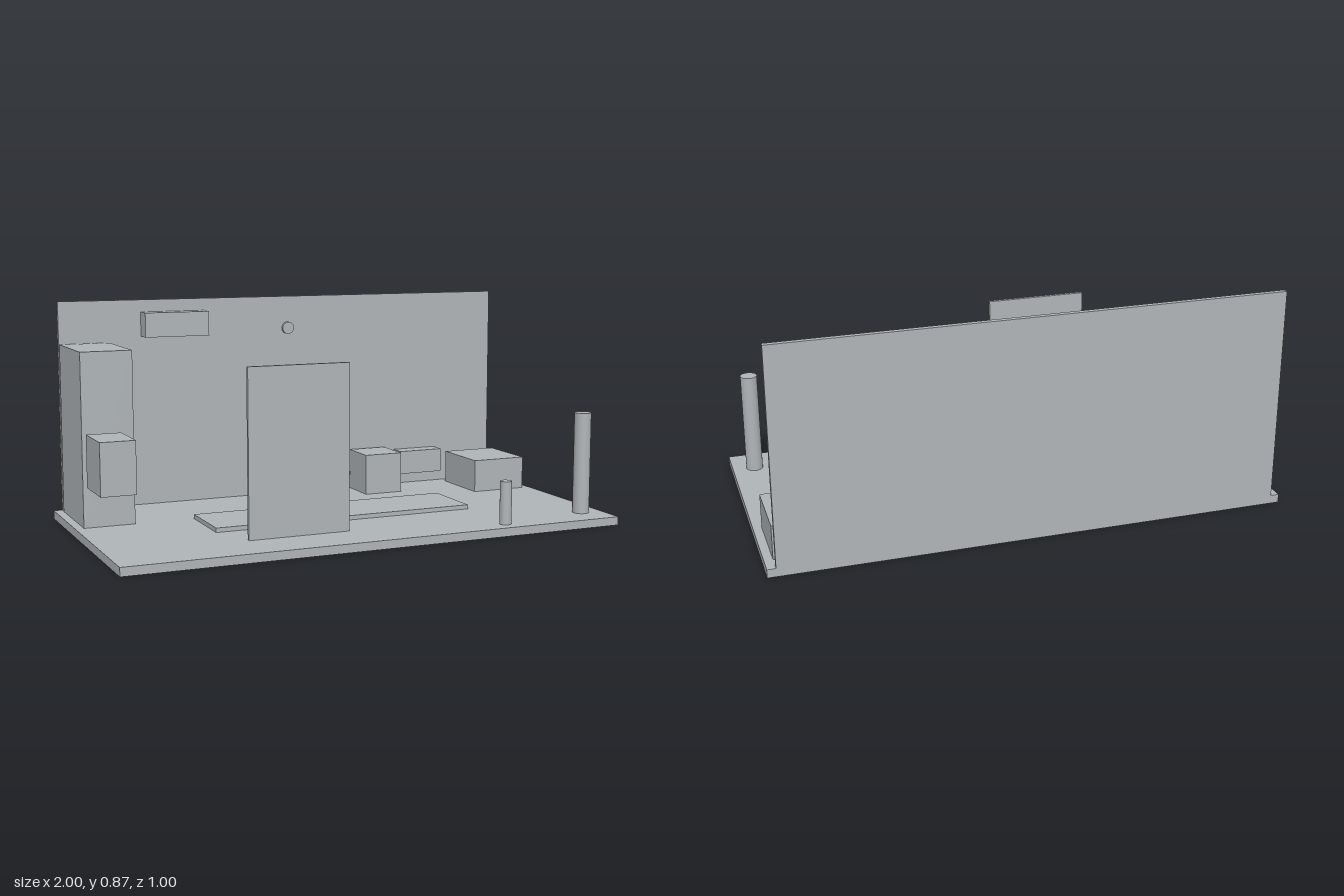
import * as THREE from 'three';

export function createModel() {
  const room = new THREE.Group();
  room.name = 'roomLayout';
  const grey = new THREE.MeshStandardMaterial({ color: 0xb0b5b8 });
  grey.name = 'plain grey';

  const FLOOR = 0.033; // top of the floor slab
  const WALL = -0.48; // front face of the back wall

  function add(name, geometry, x, y, z) {
    const mesh = new THREE.Mesh(geometry, grey);
    mesh.name = name;
    mesh.position.set(x, y, z);
    room.add(mesh);
    return mesh;
  }

  // Box given by its extents along each axis
  function box(name, [x0, x1], [y0, y1], [z0, z1]) {
    return add(name, new THREE.BoxGeometry(x1 - x0, y1 - y0, z1 - z0),
      (x0 + x1) / 2, (y0 + y1) / 2, (z0 + z1) / 2);
  }

  // Upright post standing on the floor
  function post(name, x, z, radius, top) {
    const height = top - FLOOR;
    return add(name, new THREE.CylinderGeometry(radius, radius, height, 32),
      x, FLOOR + height / 2, z);
  }

  // Floor and back wall
  box('floor', [-1, 1], [0, FLOOR], [-0.5, 0.5]);
  box('backWall', [-0.967, 0.967], [FLOOR, 0.867], [-0.5, WALL]);

  // Furniture on the floor
  box('tallCabinet', [-0.967, -0.767], [FLOOR, 0.7], [-0.467, -0.133]);
  box('standingPanel', [-0.467, -0.067], [FLOOR, 0.667], [0.293, 0.307]);
  box('floorMat', [-0.533, 0.533], [FLOOR, 0.05], [-0.133, 0.133]);
  box('smallCrate', [0.283, 0.447], [FLOOR, 0.2], [-0.467, -0.3]);
  box('lowBox', [0.733, 0.967], [FLOOR, 0.167], [-0.433, -0.167]);

  // Raised side box
  box('sideBox', [-0.967, -0.833], [0.2, 0.4], [-0.067, 0.133]);

  // Units fixed to the wall
  box('upperWallUnit', [-0.633, -0.367], [0.72, 0.818], [WALL, -0.413]);
  box('lowerWallUnit', [0.5, 0.697], [0.085, 0.184], [WALL, -0.413]);
  add('wallDisc', new THREE.CylinderGeometry(0.025, 0.025, 0.014, 32),
    0, 0.735, WALL + 0.007).rotation.x = Math.PI / 2;

  // Posts
  post('tallPost', 0.913, 0.367, 0.033, 0.433);
  post('shortPost', 0.53, 0.433, 0.023, 0.2);

  return room;
}
